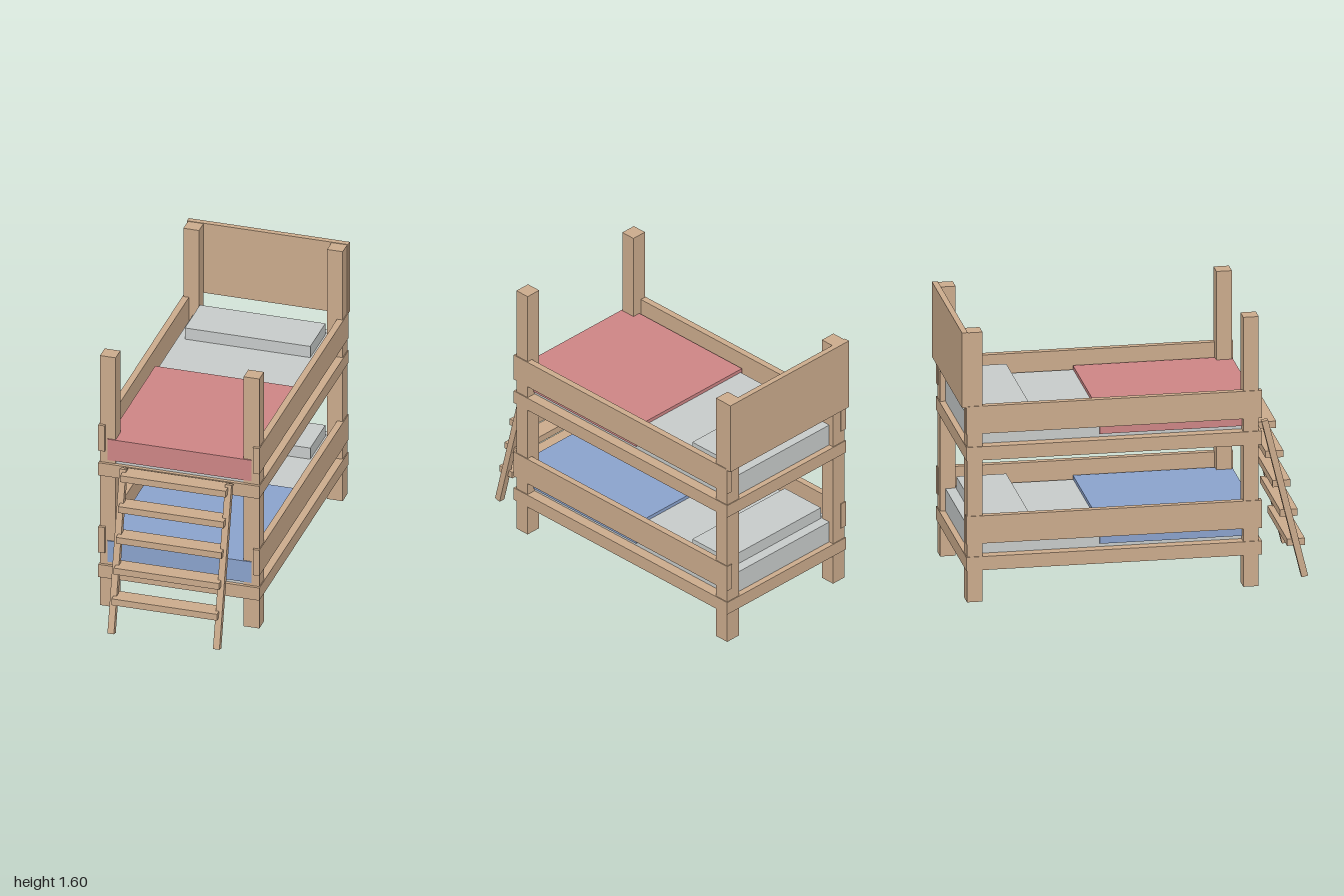
import * as THREE from 'three';

const paint = (name, color) => {
  const m = new THREE.MeshStandardMaterial({ color });
  m.name = name;
  return m;
};

export function createModel() {
  const wood = paint('wood', 0xcbab8c);
  const linen = paint('linen', 0xc7cbca);
  const red = paint('red blanket', 0xcd8585);
  const blue = paint('blue blanket', 0x8aa2cc);
  const bed = new THREE.Group();
  bed.name = 'bunkBed';

  // Box given by its limits along each axis
  const box = (parent, name, material, [x0, x1], [y0, y1], [z0, z1]) => {
    const mesh = new THREE.Mesh(new THREE.BoxGeometry(x1 - x0, y1 - y0, z1 - z0), material);
    mesh.position.set((x0 + x1) / 2, (y0 + y1) / 2, (z0 + z1) / 2);
    mesh.name = name;
    parent.add(mesh);
    return mesh;
  };
  const mirrored = (side, a, b) => (side > 0 ? [a, b] : [-b, -a]);

  // Corner posts and headboard
  for (const side of [-1, 1]) {
    const x = mirrored(side, 0.376, 0.468);
    box(bed, 'frontPost', wood, x, [0.01, 1.6], [0.605, 0.693]);
    box(bed, 'backPost', wood, x, [0.01, 1.6], [-0.97, -0.882]);
  }
  box(bed, 'headboard', wood, [-0.473, 0.473], [1.16, 1.603], [-1, -0.967]);

  // Two bunks: base, guard rails and bedding
  const addBunk = (name, y, blanketMaterial) => {
    const bunk = new THREE.Group();
    bunk.name = name;
    bunk.position.y = y;
    bed.add(bunk);
    box(bunk, 'bedBase', wood, [-0.473, 0.473], [0, 0.08], [-0.975, 0.71]);
    for (const side of [-1, 1]) {
      box(bunk, 'guardRail', wood, mirrored(side, 0.435, 0.473), [0.157, 0.32], [-0.975, 0.71]);
    }
    box(bunk, 'mattress', linen, [-0.412, 0.412], [0.08, 0.212], [-0.94, 0.688]);
    box(bunk, 'pillow', linen, [-0.37, 0.367], [0.212, 0.283], [-0.88, -0.595]);
    box(bunk, 'blanket', blanketMaterial, [-0.423, 0.423], [0.1, 0.233], [-0.205, 0.7]);
  };
  addBunk('lowerBunk', 0.197, blue);
  addBunk('upperBunk', 0.845, red);

  // Ladder: two leaning uprights and five level rungs
  const ladder = new THREE.Group();
  ladder.name = 'ladder';
  bed.add(ladder);
  const foot = new THREE.Vector2(0.982, 0.005);
  const top = new THREE.Vector2(0.754, 0.936);
  const lean = Math.atan2(foot.x - top.x, top.y - foot.y);
  for (const side of [-1, 1]) {
    const upright = new THREE.Mesh(
      new THREE.BoxGeometry(0.038, foot.distanceTo(top), 0.037), wood);
    upright.name = 'ladderUpright';
    upright.position.set(side * 0.31, (foot.y + top.y) / 2, (foot.x + top.x) / 2);
    upright.rotation.x = -lean;
    ladder.add(upright);
  }
  for (let i = 0; i < 5; i++) {
    const y = 0.205 + i * 0.175;
    const z = 0.934 - i * 0.041;
    box(ladder, 'rung', wood, [-0.31, 0.31], [y - 0.02, y + 0.02], [z - 0.051, z + 0.051]);
  }
  return bed;
}
